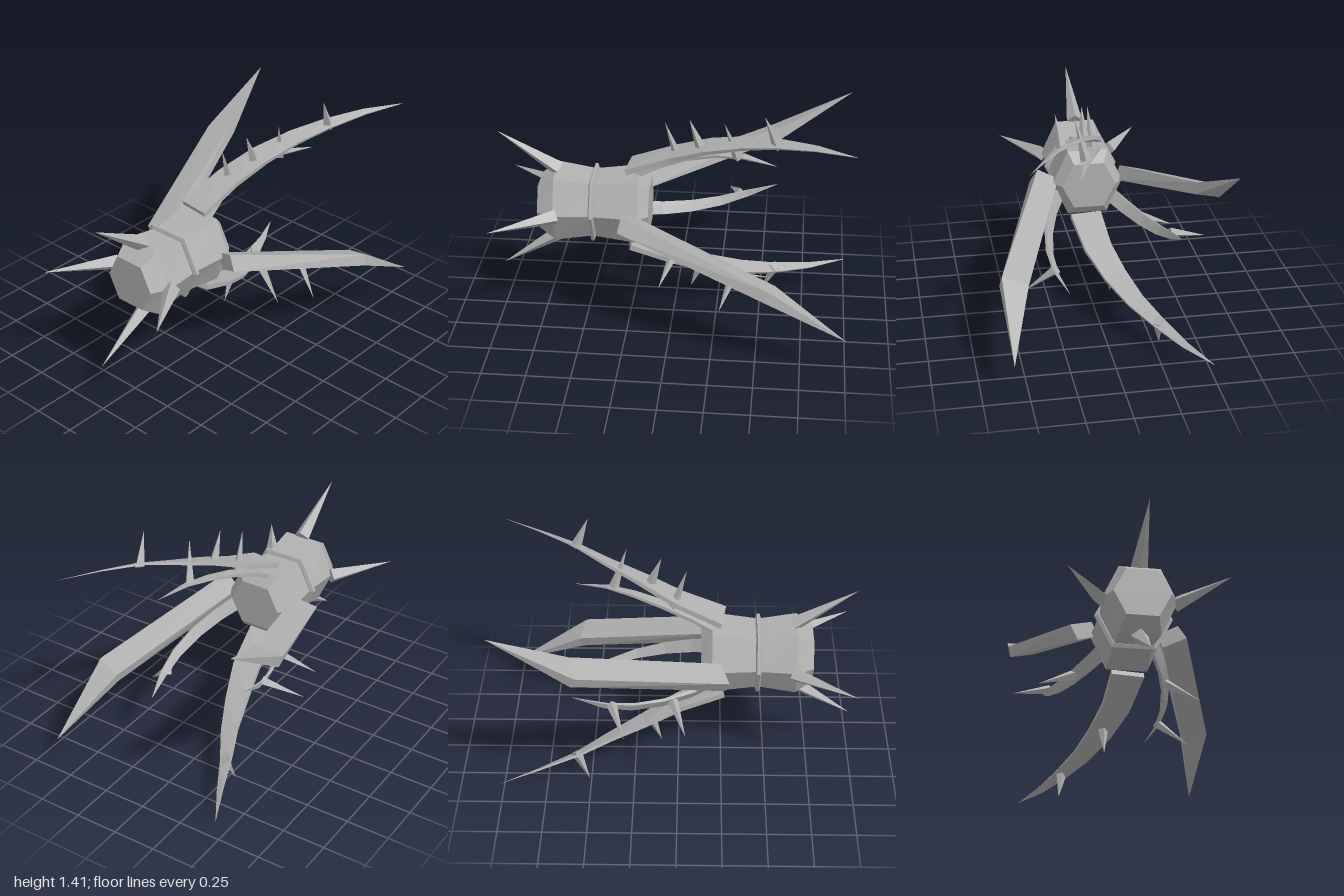
import * as THREE from 'three';

const V = (x, y, z) => new THREE.Vector3(x, y, z);
const grey = new THREE.MeshStandardMaterial({ color: 0xb0b0b0, flatShading: true });
grey.name = 'plain grey';

// Skin a list of equal-length rings, close both ends, and face it outward
function loft(name, rings) {
  const tris = [];
  const n = rings[0].length;
  for (let i = 0; i < rings.length - 1; i++) {
    for (let j = 0; j < n; j++) {
      const k = (j + 1) % n;
      const [a, b, c, d] = [rings[i][j], rings[i][k], rings[i + 1][k], rings[i + 1][j]];
      tris.push([a, b, c], [a, c, d]);
    }
  }
  const first = rings[0], last = rings[rings.length - 1];
  for (let j = 1; j < n - 1; j++) {
    tris.push([first[0], first[j + 1], first[j]], [last[0], last[j], last[j + 1]]);
  }
  let volume = 0;
  for (const [a, b, c] of tris) volume += a.dot(b.clone().cross(c));
  const pos = [];
  for (const [a, b, c] of tris) {
    for (const p of volume > 0 ? [a, b, c] : [a, c, b]) pos.push(p.x, p.y, p.z);
  }
  const g = new THREE.BufferGeometry();
  g.setAttribute('position', new THREE.Float32BufferAttribute(pos, 3));
  g.computeVertexNormals();
  const mesh = new THREE.Mesh(g, grey);
  mesh.name = name;
  return mesh;
}

// Hexagonal ring around the z axis, corners at left and right
function hexRing(z, rx, ry) {
  const h = rx * 0.56;
  return [V(rx, 0, z), V(h, ry, z), V(-h, ry, z), V(-rx, 0, z), V(-h, -ry, z), V(h, -ry, z)];
}

// Four-sided spike from a base point to a tip
function spike(name, base, tip, radius) {
  const dir = tip.clone().sub(base);
  const side = V(-base.y, base.x, 0).normalize();
  const up = side.clone().cross(dir).normalize();
  const ring = [side, up, side.clone().negate(), up.clone().negate()]
    .map(o => base.clone().addScaledVector(o, radius));
  return loft(name, [ring, ring.map(() => tip.clone())]);
}

// Flat curved strip tapering along a path, its broad faces turned to and from the axis
function strip(name, points, widths, thickness) {
  const curve = new THREE.CatmullRomCurve3(points);
  const last = points.length - 1;
  const rings = points.map((p, i) => {
    const tangent = curve.getTangent(i / last);
    const radial = V(p.x, p.y, 0).normalize();
    const w = tangent.clone().cross(radial).normalize();
    const t = w.clone().cross(tangent).normalize();
    const h = thickness * widths[i] / widths[0];
    return [[1, 1], [-1, 1], [-1, -1], [1, -1]].map(([a, b]) =>
      p.clone().addScaledVector(w, a * widths[i]).addScaledVector(t, b * h));
  });
  return loft(name, rings);
}

function blade() {
  const root = [V(-0.325, 0.018, 0.285), V(-0.28, -0.063, 0.265), V(-0.165, -0.015, 0.225), V(-0.2, 0.065, 0.24)];
  const elbow = [V(-0.602, 0.25, -0.54), V(-0.59, 0.19, -0.565), V(-0.45, 0.233, -0.6), V(-0.46, 0.292, -0.58)];
  return loft('blade', [root, elbow, elbow.map(() => V(-0.58, 0.488, -1))]);
}

function horn() {
  const g = new THREE.Group();
  g.name = 'horn';
  g.add(strip('hornStrip', [
    V(0, 0.24, 0.25), V(0.03, 0.34, 0), V(0.095, 0.425, -0.2), V(0.175, 0.49, -0.4),
    V(0.27, 0.54, -0.58), V(0.37, 0.57, -0.79), V(0.482, 0.582, -1),
  ], [0.092, 0.08, 0.067, 0.05, 0.035, 0.019, 0.001], 0.016));
  g.add(spike('hornSpike', V(0.08, 0.405, -0.16), V(0.08, 0.577, -0.095), 0.032));
  g.add(spike('hornSpike', V(0.265, 0.525, -0.585), V(0.287, 0.703, -0.51), 0.034));
  return g;
}

function tendril() {
  const g = new THREE.Group();
  g.name = 'tendril';
  g.add(strip('tendrilStrip', [
    V(-0.02, 0.17, 0.22), V(-0.012, 0.25, 0.08), V(0.01, 0.315, -0.08),
    V(0.05, 0.36, -0.25), V(0.1, 0.374, -0.4), V(0.16, 0.352, -0.58),
  ], [0.04, 0.038, 0.034, 0.028, 0.02, 0.001], 0.011));
  g.add(spike('tendrilSpike', V(0.01, 0.3, -0.03), V(0.026, 0.53, 0.045), 0.03));
  g.add(spike('tendrilSpike', V(0.1, 0.365, -0.365), V(0.15, 0.592, -0.29), 0.03));
  return g;
}

export function createModel() {
  const model = new THREE.Group();
  const core = new THREE.Group();
  core.name = 'core';
  core.position.y = 0.703;
  model.add(core);

  // Waisted hexagonal body and the collar round its middle
  core.add(loft('body', [
    hexRing(0.76, 0.155, 0.134), hexRing(0.665, 0.204, 0.195), hexRing(0.45, 0.186, 0.163),
    hexRing(0.19, 0.204, 0.195), hexRing(0.13, 0.155, 0.134),
  ]));
  core.add(loft('collar', [
    hexRing(0.466, 0.195, 0.168), hexRing(0.458, 0.215, 0.186),
    hexRing(0.442, 0.215, 0.186), hexRing(0.434, 0.195, 0.168),
  ]));

  // Four spikes round the front
  for (let i = 0; i < 4; i++) {
    const s = spike('frontSpike', V(0, 0.203, 0.65), V(0, 0.425, 0.995), 0.047);
    s.rotation.z = i * Math.PI / 2;
    core.add(s);
  }

  // Paired blades and horns, and three tendrils, turned about the body's axis
  const turn = (make, count) => {
    for (let i = 0; i < count; i++) {
      const part = make();
      part.rotation.z = i * 2 * Math.PI / count;
      core.add(part);
    }
  };
  turn(blade, 2);
  turn(horn, 2);
  turn(tendril, 3);
  return model;
}
